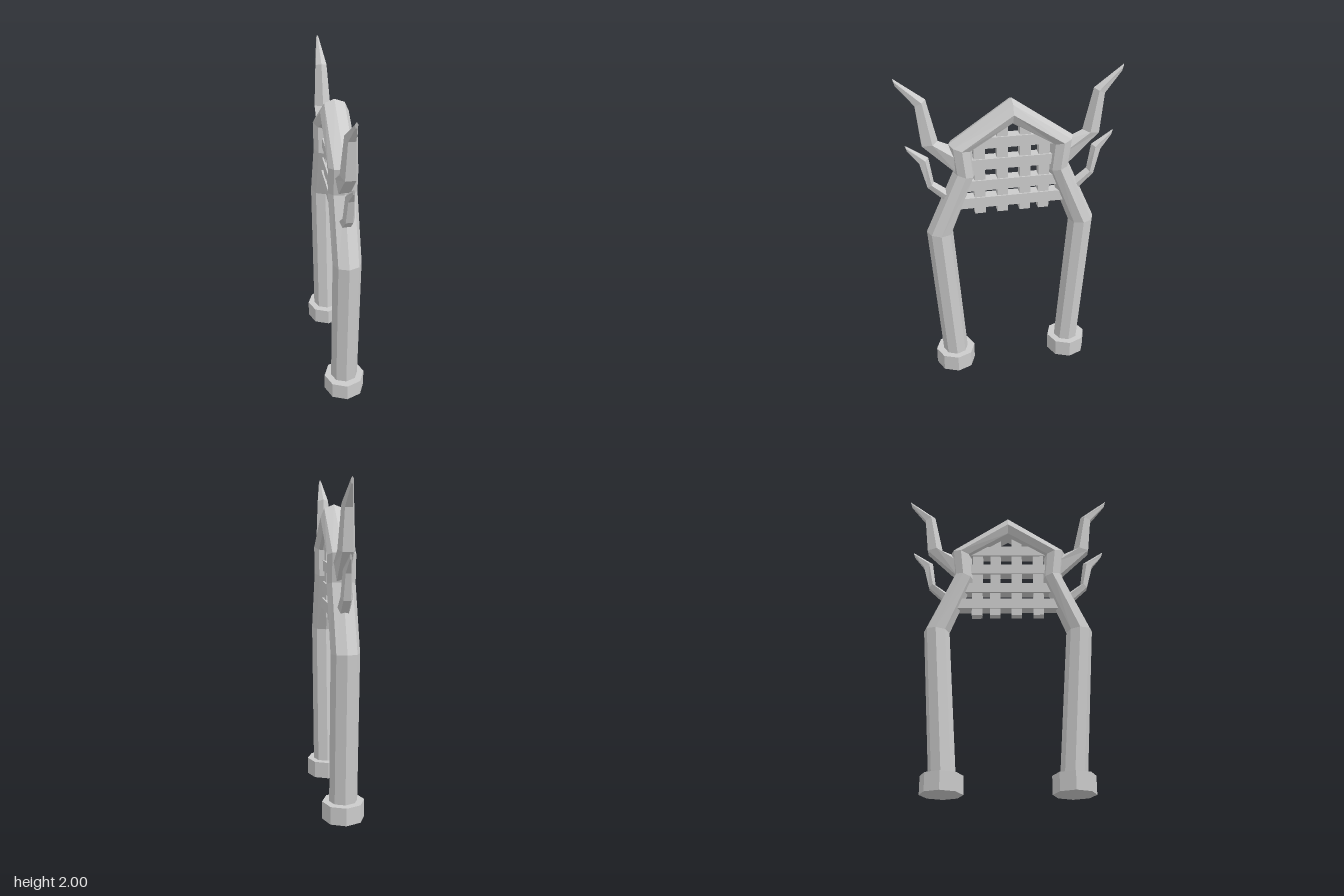
import * as THREE from 'three';

const material = new THREE.MeshStandardMaterial({ color: 0xcccccc, flatShading: true });

// Loft rings given as [outerZ, outerY, innerZ, innerY, halfWidthX], with end caps.
function loft(name, rings, sides, phase) {
  const angles = Array.from({ length: sides }, (_, i) => phase + (i / sides) * Math.PI * 2);
  const cosines = angles.map(Math.cos);
  const min = Math.min(...cosines), max = Math.max(...cosines);
  const widest = Math.max(...angles.map(Math.sin));
  const pos = [], index = [];
  for (const [oz, oy, iz, iy, w] of rings) {
    angles.forEach((a, i) => {
      const t = (cosines[i] - min) / (max - min);
      pos.push((Math.sin(a) / widest) * w, iy + (oy - iy) * t, iz + (oz - iz) * t);
    });
  }
  for (let r = 0; r < rings.length - 1; r++) {
    for (let i = 0; i < sides; i++) {
      const a = r * sides + i, b = r * sides + ((i + 1) % sides);
      index.push(a, b, b + sides, a, b + sides, a + sides);
    }
  }
  const last = (rings.length - 1) * sides;
  for (let i = 1; i < sides - 1; i++) {
    index.push(0, i + 1, i, last, last + i, last + i + 1);
  }
  const geometry = new THREE.BufferGeometry();
  geometry.setAttribute('position', new THREE.Float32BufferAttribute(pos, 3));
  geometry.setIndex(index);
  const flat = geometry.toNonIndexed();
  flat.computeVertexNormals();
  const mesh = new THREE.Mesh(flat, material);
  mesh.name = name;
  return mesh;
}

function box(name, w, h, d, x, y, z) {
  const mesh = new THREE.Mesh(new THREE.BoxGeometry(w, h, d), material);
  mesh.name = name;
  mesh.position.set(x, y, z);
  return mesh;
}

export function createModel() {
  const model = new THREE.Group();
  model.name = 'gateArch';

  // Octagonal arch beam: one leg up to the peak, then mirrored down
  const half = [
    [0.457, 0.06, 0.297, 0.06, 0.085],
    [0.525, 1.025, 0.365, 1.015, 0.085],
    [0.35, 1.415, 0.22, 1.385, 0.085],
    [0.372, 1.588, 0.235, 1.55, 0.085],
  ];
  const peak = [0, 1.845, 0, 1.69, 0.083];
  const mirrored = half.map(([oz, oy, iz, iy, w]) => [-oz, oy, -iz, iy, w]).reverse();
  model.add(loft('archBeam', [...half, peak, ...mirrored], 8, 0));

  // Feet and branches on both ends
  for (const turn of [0, Math.PI]) {
    const side = new THREE.Group();
    side.name = turn ? 'backSide' : 'frontSide';
    side.rotation.y = turn;

    const foot = new THREE.Mesh(new THREE.CylinderGeometry(0.127, 0.127, 0.11, 8), material);
    foot.name = 'foot';
    foot.position.set(0, 0.055, 0.381);
    side.add(foot);

    // Five-sided branches: ridge toward the arch, flat face outward
    side.add(loft('upperBranch', [
      [0.32, 1.4, 0.29, 1.55, 0.055],
      [0.525, 1.6, 0.43, 1.615, 0.05],
      [0.55, 1.84, 0.488, 1.87, 0.035],
      [0.65, 1.96, 0.66, 2.0, 0.008],
    ], 5, Math.PI / 5));
    side.add(loft('lowerBranch', [
      [0.37, 1.2, 0.35, 1.27, 0.04],
      [0.506, 1.33, 0.466, 1.358, 0.035],
      [0.545, 1.485, 0.49, 1.515, 0.026],
      [0.61, 1.565, 0.62, 1.6, 0.006],
    ], 5, Math.PI / 5));
    model.add(side);
  }

  // Lattice hanging under the peak
  const lattice = new THREE.Group();
  lattice.name = 'lattice';
  for (const z of [0.195, 0.057, -0.08, -0.195]) {
    const bottom = 1.13, top = 1.72 - 0.575 * Math.abs(z);
    lattice.add(box('verticalBar', 0.055, top - bottom, 0.066, 0, (top + bottom) / 2, z));
  }
  for (const [y, reach] of [[1.207, 0.32], [1.32, 0.28], [1.456, 0.25], [1.59, 0.25]]) {
    lattice.add(box('crossBar', 0.075, 0.067, reach * 2, 0, y, 0));
  }
  model.add(lattice);
  return model;
}
